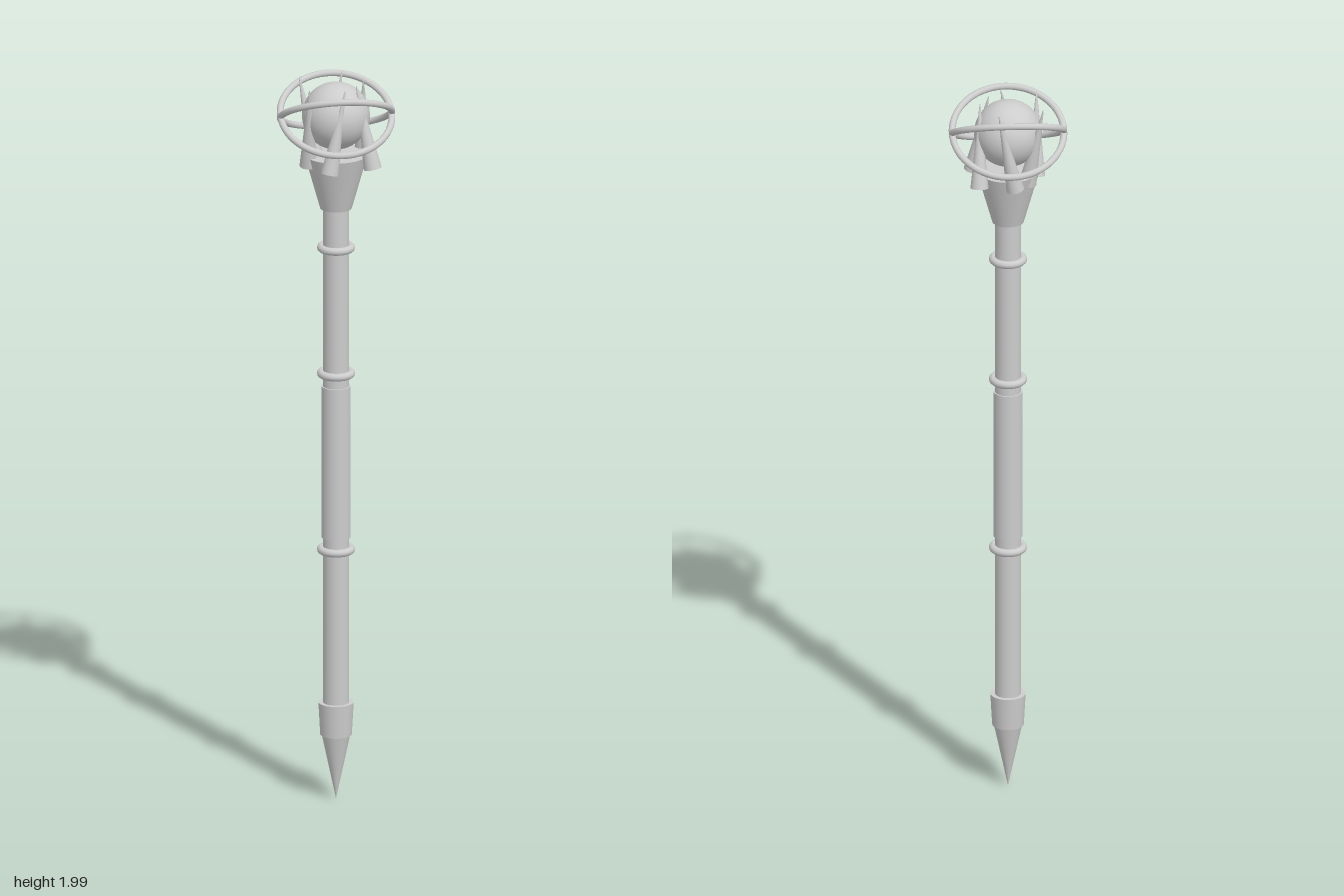
import * as THREE from 'three';

export function createModel() {
  const group = new THREE.Group();
  const grey = new THREE.MeshStandardMaterial({ color: 0xcccccc });
  grey.name = 'light grey';

  const add = (name, geometry, y = 0) => {
    const mesh = new THREE.Mesh(geometry, grey);
    mesh.name = name;
    mesh.position.y = y;
    group.add(mesh);
    return mesh;
  };
  // Round section between two heights
  const section = (name, y0, y1, r0, r1) =>
    add(name, new THREE.CylinderGeometry(r1, r0, y1 - y0, 32), (y0 + y1) / 2);

  // Pole, from the pointed foot up to the flared head
  section('footSpike', 0, 0.19, 0, 0.04);
  section('footCollar', 0.18, 0.27, 0.042, 0.047);
  section('shaft', 0.25, 1.66, 0.035, 0.035);
  section('grip', 0.73, 1.15, 0.039, 0.039);
  section('headCup', 1.645, 1.795, 0.042, 0.084);

  // Bands around the shaft
  for (const y of [0.695, 1.185, 1.535]) {
    const band = new THREE.TorusGeometry(0.04, 0.0105, 12, 40);
    add('shaftBand', band.rotateX(Math.PI / 2), y);
  }

  // Orb
  add('orb', new THREE.SphereGeometry(0.09, 48, 32), 1.902);

  // Two orbit rings, tilted opposite ways about one shared diagonal axis
  const axis = new THREE.Vector3(Math.cos(0.61), 0, -Math.sin(0.61));
  for (const side of [-1, 1]) {
    const hoop = new THREE.TorusGeometry(0.148, 0.009, 12, 72).rotateX(Math.PI / 2);
    add('orbitRing', hoop, 1.905).quaternion.setFromAxisAngle(axis, side * Math.PI / 6);
  }

  // Six claws around the orb; the lean direction turns twice as fast as the position
  const up = new THREE.Vector3(0, 1, 0);
  for (let i = 0; i < 6; i++) {
    const a = (i * Math.PI) / 3;
    const lean = Math.PI + 2 * a;
    const claw = add('claw', new THREE.CylinderGeometry(0.0012, 0.024, 0.228, 24), 1.882);
    claw.position.x = 0.085 * Math.cos(a);
    claw.position.z = 0.085 * Math.sin(a);
    const direction = new THREE.Vector3(0.22 * Math.cos(lean), 1, 0.22 * Math.sin(lean));
    claw.quaternion.setFromUnitVectors(up, direction.normalize());
  }
  return group;
}
